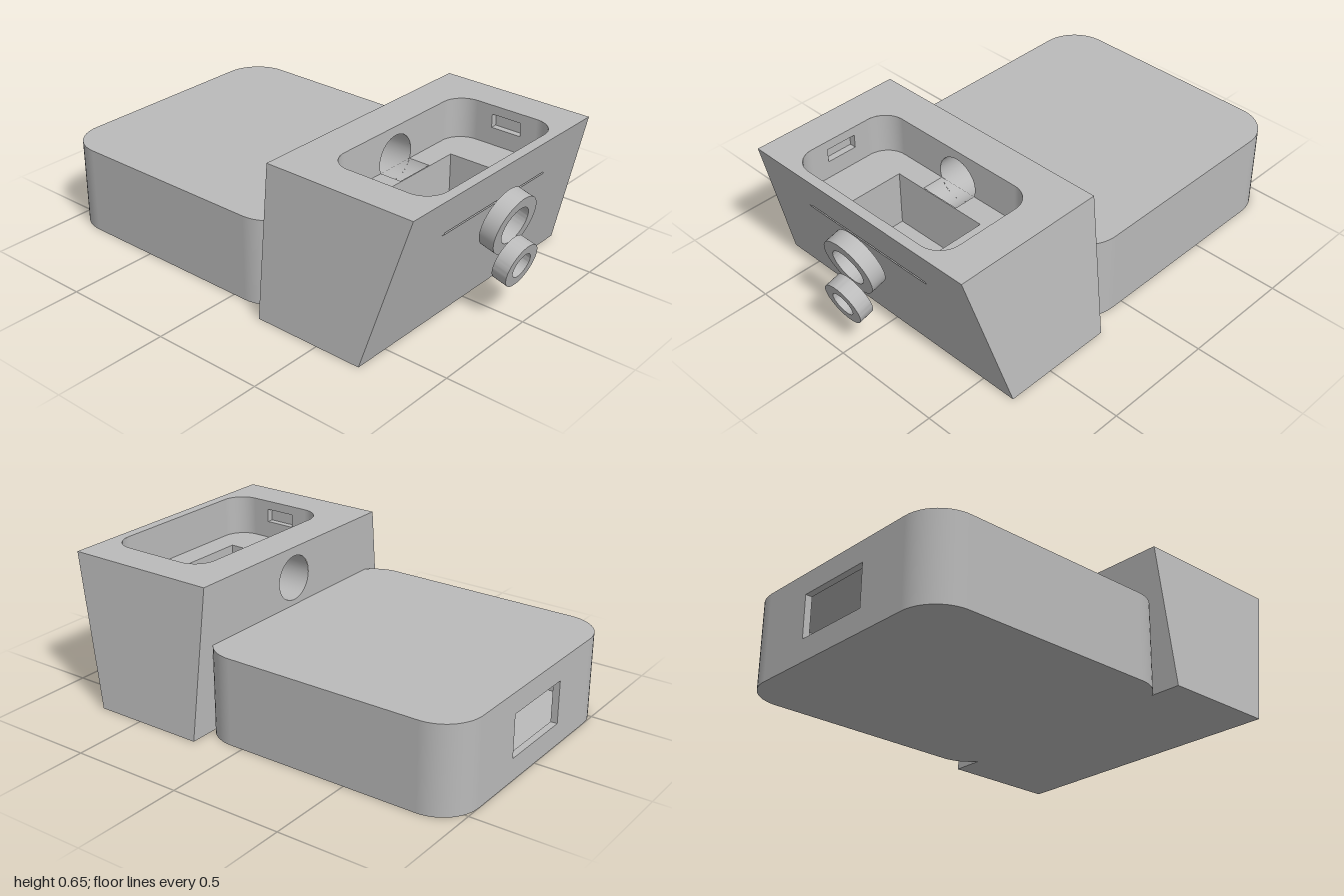
import * as THREE from 'three';
import { toCreasedNormals } from 'three/addons/utils/BufferGeometryUtils.js';

const grey = new THREE.MeshStandardMaterial({ color: 0xbababa });
grey.name = 'grey';

function add(group, name, geometry) {
  const mesh = new THREE.Mesh(geometry, grey);
  mesh.name = name;
  group.add(mesh);
  return mesh;
}

// Turn a geometry inside out
function flip(geo) {
  geo.setIndex([...geo.index.array].reverse());
  const n = geo.attributes.normal;
  for (let i = 0; i < n.array.length; i++) n.array[i] *= -1;
  return geo;
}

function rect(u0, v0, u1, v1) {
  return new THREE.Shape([[u0, v0], [u1, v0], [u1, v1], [u0, v1]].map(p => new THREE.Vector2(...p)));
}

function roundRect(hw, z0, z1, r) {
  const s = new THREE.Shape(), q = Math.PI / 2;
  s.absarc(hw - r, z1 - r, r, 0, q);
  s.absarc(-hw + r, z1 - r, r, q, 2 * q);
  s.absarc(-hw + r, z0 + r, r, 2 * q, 3 * q);
  s.absarc(hw - r, z0 + r, r, 3 * q, 4 * q);
  return s;
}

function circle(x, y, r) {
  return new THREE.Shape().absarc(x, y, r, 0, Math.PI * 2);
}

function cut(shape, ...holes) {
  shape.holes.push(...holes);
  return shape;
}

// Flat face: a 2D shape carried into 3D by map(u, v)
function face(shape, map, flipped) {
  const geo = new THREE.ShapeGeometry(shape, 24), p = geo.attributes.position;
  for (let i = 0; i < p.count; i++) p.setXYZ(i, ...map(p.getX(i), p.getY(i)));
  if (flipped) geo.setIndex([...geo.index.array].reverse());
  geo.computeVertexNormals();
  return geo;
}

// Inward-facing box without the listed sides (0..5 = +x -x +y -y +z -z)
function hollowBox(w, h, d, omit) {
  const geo = new THREE.BoxGeometry(w, h, d);
  geo.setIndex([...geo.index.array].filter((_, i) => !omit.includes(Math.floor(i / 6))));
  geo.clearGroups();
  return flip(geo);
}

// Rounded rectangular ring of walls; cuts maps a side to its openings
function walls(group, name, hw, z0, z1, r, y0, y1, inward, shapes = {}) {
  const across = () => rect(-hw + r, y0, hw - r, y1), along = () => rect(z0 + r, y0, z1 - r, y1);
  add(group, name + 'Front', face(shapes.front || across(), (u, v) => [u, v, z1], inward));
  add(group, name + 'Back', face(shapes.back || across(), (u, v) => [u, v, z0], !inward));
  add(group, name + 'Left', face(shapes.side || along(), (u, v) => [hw, v, u], !inward));
  add(group, name + 'Right', face(shapes.side || along(), (u, v) => [-hw, v, u], inward));
  [[1, 1], [1, -1], [-1, -1], [-1, 1]].forEach(([sx, sz], i) => {
    const geo = new THREE.CylinderGeometry(r, r, y1 - y0, 12, 1, true, i * Math.PI / 2, Math.PI / 2);
    add(group, name + 'Corner', inward ? flip(geo) : geo)
      .position.set(sx * (hw - r), (y0 + y1) / 2, sz > 0 ? z1 - r : z0 + r);
  });
}

// Inward-facing tube along z
function bore(r, z0, z1, y, start, length) {
  const geo = new THREE.CylinderGeometry(r, r, z1 - z0, 32, 1, true, start, length);
  return flip(geo.rotateX(Math.PI / 2).translate(0, y, (z0 + z1) / 2));
}

function makeBody() {
  const g = new THREE.Group();
  g.name = 'lowBody';
  const hw = 0.595, z0 = -1, z1 = 0.23, r = 0.17, h = 0.385, t = 0.03;
  const outline = roundRect(hw, z0, z1, r), inner = roundRect(hw - t, z0 + t, z1 - t, r - t);
  const back = (w, y0, y1) => cut(rect(-w, y0, w, y1), rect(-0.18, 0.1, 0.18, 0.29));
  walls(g, 'shell', hw, z0, z1, r, 0, h, false, { back: back(hw - r, 0, h) });
  add(g, 'topPanel', face(outline, (u, v) => [u, h, v], true));
  add(g, 'bottomPanel', face(outline, (u, v) => [u, 0, v], false));
  // Hollow interior seen through the rear window
  walls(g, 'inside', hw - t, z0 + t, z1 - t, r - t, t, h - t, true, { back: back(hw - r, t, h - t) });
  add(g, 'insideFloor', face(inner, (u, v) => [u, t, v], true));
  add(g, 'insideCeiling', face(inner, (u, v) => [u, h - t, v], false));
  add(g, 'windowFrame', hollowBox(0.36, 0.19, t, [4, 5])).position.set(0, 0.195, z0 + t / 2);
  return g;
}

function makeHead() {
  const g = new THREE.Group();
  g.name = 'head';
  const H = 0.65, floor = 0.473, boreY = 0.51, boreR = 0.1;
  const half = y => 0.66 - 0.08 * y / H;
  const front = y => 0.71 + 0.175 * y / H;
  const rear = y => 0.2 - 0.015 * y / H;
  const trapezoid = () => new THREE.Shape([[-half(0), 0], [half(0), 0], [half(H), H], [-half(H), H]]
    .map(p => new THREE.Vector2(...p)));
  const side = new THREE.Shape([[rear(0), 0], [front(0), 0], [front(H), H], [rear(H), H]]
    .map(p => new THREE.Vector2(...p)));

  // Outer faces, with a thin slit in front and a round bore behind
  add(g, 'headFront', face(cut(trapezoid(), rect(-0.325, floor, 0.335, 0.479)), (u, v) => [u, v, front(v)], false));
  add(g, 'headBack', face(cut(trapezoid(), circle(0, boreY, boreR)), (u, v) => [u, v, rear(v)], true));
  add(g, 'headLeft', face(side, (u, v) => [half(v), v, u], true));
  add(g, 'headRight', face(side, (u, v) => [-half(v), v, u], false));
  add(g, 'headBottom', face(rect(-half(0), rear(0), half(0), front(0)), (u, v) => [u, 0, v], false));
  const rim = cut(rect(-half(H), rear(H), half(H), front(H)), roundRect(0.42, 0.35, 0.84, 0.1));
  add(g, 'headRim', face(rim, (u, v) => [u, H, v], true));

  // Tray: rear wall opened by the bore, side walls opened by small notches
  const drop = boreY - floor, chord = Math.sqrt(boreR ** 2 - drop ** 2), a = Math.asin(drop / boreR);
  const trayBack = new THREE.Shape();
  trayBack.moveTo(-0.32, floor);
  trayBack.lineTo(-chord, floor);
  trayBack.absarc(0, boreY, boreR, Math.PI + a, -a, true);
  trayBack.lineTo(0.32, floor);
  trayBack.lineTo(0.32, H);
  trayBack.lineTo(-0.32, H);
  const traySide = cut(rect(0.45, floor, 0.74, H), rect(0.525, 0.55, 0.665, 0.61));
  walls(g, 'tray', 0.42, 0.35, 0.84, 0.1, floor, H, true, { back: trayBack, side: traySide });
  for (const s of [1, -1]) {
    add(g, 'sideNotch', hollowBox(0.03, 0.06, 0.14, [s > 0 ? 1 : 0])).position.set(s * 0.435, 0.58, 0.595);
  }

  // Tray floor with a rectangular pocket and the trough of the bore
  const trayFloor = cut(roundRect(0.42, 0.35, 0.84, 0.1),
    rect(-0.235, 0.455, 0.235, 0.73), rect(-chord, 0.351, chord, 0.45));
  add(g, 'trayFloor', face(trayFloor, (u, v) => [u, floor, v], true));
  add(g, 'floorPocket', hollowBox(0.47, 0.25, 0.275, [2])).position.set(0, floor - 0.125, 0.5925);
  add(g, 'bore', bore(boreR, rear(boreY), 0.35, boreY, 0, Math.PI * 2));
  const h = Math.PI / 2 - a;
  add(g, 'boreTrough', bore(boreR, 0.35, 0.45, boreY, -h, 2 * h));
  const end = new THREE.Shape().absarc(0, boreY, boreR, Math.PI + a, 2 * Math.PI - a);
  add(g, 'troughEnd', face(end, (u, v) => [u, v, 0.45], true));
  return g;
}

// Ring tilted to match the sloping front
function makeRing(name, outer, inner, depth, y, z) {
  const shape = cut(circle(0, 0, outer), circle(0, 0, inner));
  const geo = new THREE.ExtrudeGeometry(shape, { depth, bevelEnabled: false, curveSegments: 40 });
  const mesh = new THREE.Mesh(toCreasedNormals(geo.translate(0, 0, -depth / 2), 0.6), grey);
  mesh.name = name;
  mesh.rotation.x = Math.atan(0.175 / 0.65);
  mesh.position.set(0, y, z);
  return mesh;
}

export function createModel() {
  const model = new THREE.Group();
  model.name = 'housing';
  model.add(makeBody(), makeHead());
  model.add(makeRing('largeRing', 0.132, 0.083, 0.07, 0.418, 0.901));
  model.add(makeRing('smallRing', 0.098, 0.055, 0.068, 0.256, 0.944));
  return model;
}
